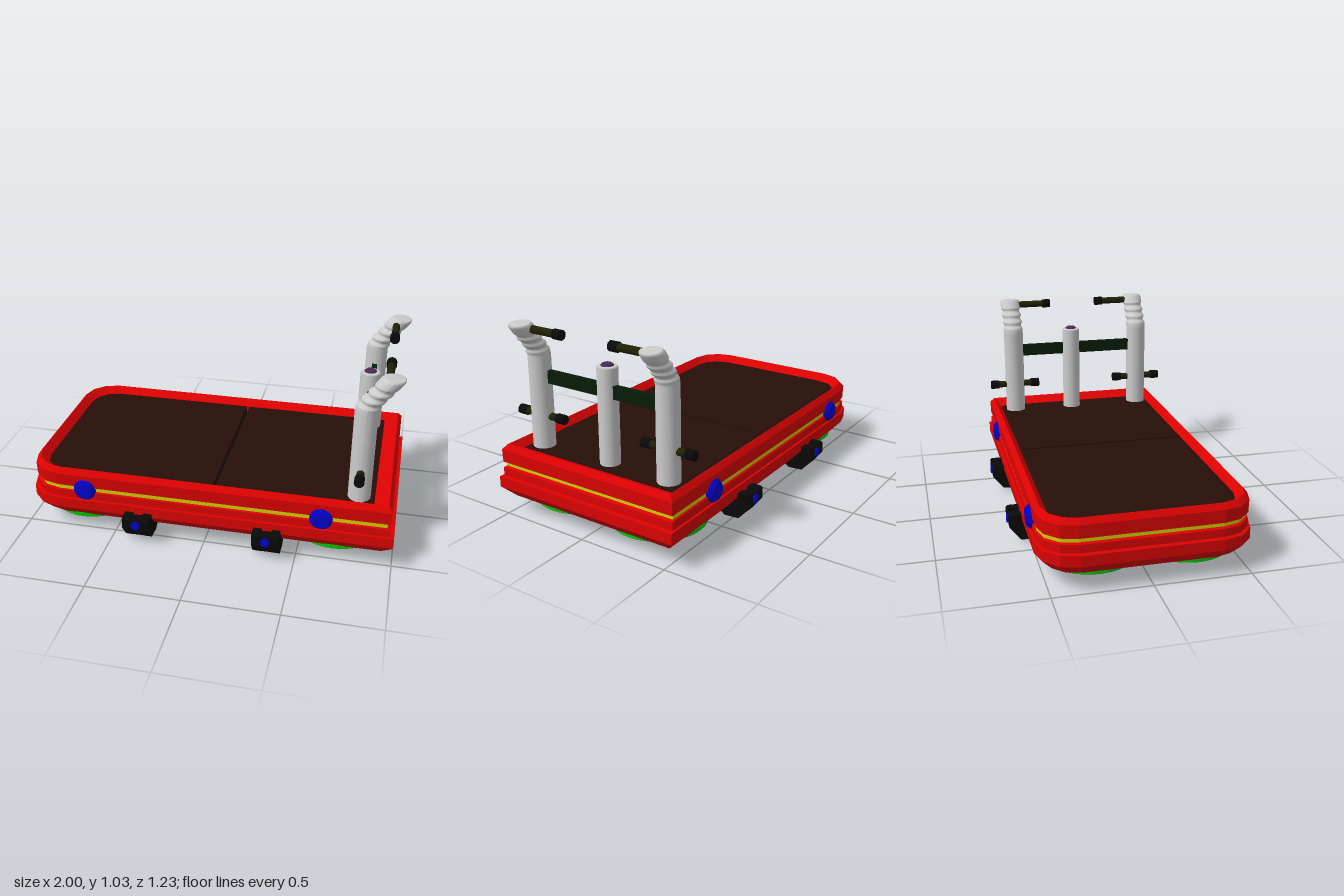
import * as THREE from 'three';

const mat = (color, side = THREE.FrontSide) => new THREE.MeshStandardMaterial({ color, side });
const RED = mat(0xdc0202), YELLOW = mat(0xd2d000), BROWN = mat(0x270e08), BLUE = mat(0x0202cc);
const GREEN = mat(0x02c402, THREE.DoubleSide), TEAL = mat(0x02bcbc, THREE.DoubleSide), PURPLE = mat(0x8c028c);
const BLACK = mat(0x0a0a0a), OLIVE = mat(0x202006), DARKGREEN = mat(0x061c08), GREY = mat(0xcccccc);
const DOME = mat(0x4a2a50);

export function createModel() {
  const model = new THREE.Group();
  const add = (name, geo, material, x = 0, y = 0, z = 0, parent = model) => {
    const m = new THREE.Mesh(geo, material);
    m.name = name;
    m.position.set(x, y, z);
    parent.add(m);
    return m;
  };
  const lathe = (pts, seg = 32) => new THREE.LatheGeometry(pts.map(p => new THREE.Vector2(...p)), seg);
  const rod = (r, len, seg = 16) => new THREE.CylinderGeometry(r, r, len, seg).rotateX(Math.PI / 2);

  // Footprint: square at +x, rounded in three facets at -x
  const ring = ({ x0, x1, w, r, y }) => {
    const pts = [[x1, w], [x1, -w]];
    for (const s of [-1, 1]) {
      for (let k = 0; k <= 3; k++) {
        const a = (s < 0 ? k : 3 - k) * Math.PI / 6;
        pts.push([x0 + r - r * Math.sin(a), s * (w - r + r * Math.cos(a))]);
      }
    }
    return pts.map(([x, z]) => new THREE.Vector3(x, y, z));
  };
  // Flat-shaded skin over a stack of rings, with optional end caps
  const loft = (specs, capped) => {
    const rings = specs.map(ring), v = [], n = rings[0].length;
    const tri = (...ps) => ps.forEach(p => v.push(p.x, p.y, p.z));
    for (let j = 0; j + 1 < rings.length; j++) {
      for (let i = 0; i < n; i++) {
        const k = (i + 1) % n, a = rings[j], b = rings[j + 1];
        tri(a[i], a[k], b[k]);
        tri(a[i], b[k], b[i]);
      }
    }
    const top = rings[rings.length - 1];
    for (let i = 1; capped && i + 1 < n; i++) {
      tri(rings[0][0], rings[0][i + 1], rings[0][i]);
      tri(top[0], top[i], top[i + 1]);
    }
    const g = new THREE.BufferGeometry();
    g.setAttribute('position', new THREE.Float32BufferAttribute(v, 3));
    g.computeVertexNormals();
    return g;
  };
  // Hull ring given as x inset, height, half width and extra inset at the +x end
  const hull = ([i, y, w, e = 0]) => ({ x0: -1 + i, x1: 1 - i - e, w, r: 0.19 - i * 0.6, y });

  // Body
  add('lowerHull', loft([[0.06, 0.08, 0.49], [0, 0.142, 0.545], [0, 0.2, 0.545], [0.022, 0.203, 0.534],
    [0.022, 0.246, 0.534], [0.035, 0.252, 0.525]].map(hull), true), RED);
  add('trimStripe', loft([[0.038, 0.25, 0.526], [0.038, 0.278, 0.526]].map(hull), true), YELLOW);
  add('upperHull', loft([[0.04, 0.275, 0.52], [0.022, 0.278, 0.534], [0.02, 0.347, 0.536], [0.04, 0.375, 0.512],
    [0.045, 0.375, 0.508], [0.085, 0.338, 0.474, 0.035], [0.085, 0.276, 0.474, 0.035]].map(hull), false), RED);

  // Deck in two panels with a gap between them
  const panel = (x0, x1, r, edge) => loft([
    { x0, x1, w: 0.476, r, y: 0.277 },
    { x0, x1, w: 0.476, r, y: 0.337 },
    { x0: x0 + edge, x1, w: 0.45, r, y: 0.345 },
  ], true);
  add('deckPanelRight', panel(-0.918, 0.042, 0.14, 0.03), BROWN);
  add('deckPanelLeft', panel(0.06, 0.884, 0.005, 0), BROWN);

  // Lift nozzles underneath
  const collar = lathe([[0.2, 0.06], [0.246, 0.06], [0.246, 0.06], [0.25, 0.064], [0.25, 0.064],
    [0.25, 0.085], [0.25, 0.085], [0.2, 0.085]], 40);
  const dish = lathe([[0.085, 0.058], [0.092, 0.04], [0.1, 0.018], [0.108, 0.004], [0.12, 0],
    [0.145, 0.01], [0.175, 0.027], [0.205, 0.046], [0.228, 0.062]], 40);
  const core = new THREE.CylinderGeometry(0.09, 0.09, 0.02, 32);
  for (const [x, z] of [[-0.69, 0.248], [-0.69, -0.248], [0, 0], [0.69, 0.248], [0.69, -0.248]]) {
    const nozzle = new THREE.Group();
    nozzle.name = 'nozzle';
    nozzle.position.set(x, 0, z);
    model.add(nozzle);
    add('nozzleCollar', collar, GREEN, 0, 0, 0, nozzle);
    add('nozzleDish', dish, TEAL, 0, 0, 0, nozzle);
    add('nozzleCore', core, PURPLE, 0, 0.062, 0, nozzle);
  }

  // Cross straps with clamps at both ends
  const slab = (pts, width) => new THREE.ExtrudeGeometry(new THREE.Shape(pts.map(p => new THREE.Vector2(...p))),
    { depth: width, bevelEnabled: false }).translate(0, 0, -width / 2).rotateY(-Math.PI / 2);
  const half = [[0.5, 0.09], [0.535, 0.135], [0.535, 0.152], [0.605, 0.152], [0.605, 0.1], [0.552, 0.027],
    [0.47, 0.022], [0.42, 0.036]];
  const strap = slab([...half, ...half.map(([z, y]) => [-z, y]).reverse()], 0.1);
  for (const x of [-0.35, 0.35]) {
    add('strap', strap, BLACK, x);
    for (const s of [-1, 1]) {
      for (const dx of [-0.05, 0.05]) {
        const cheek = [[0.43, 0.05], [0.47, 0.022], [0.552, 0.026], [0.61, 0.1], [0.61, 0.155], [0.6, 0.165],
          [0.53, 0.165], [0.53, 0.135], [0.47, 0.09], [0.43, 0.09]].map(([z, y]) => [s * z, y]);
        add('strapClamp', slab(cheek, 0.045), BLACK, x + dx);
      }
      add('strapBolt', rod(0.024, 0.02), BLUE, x, 0.123, s * 0.606);
    }
  }

  // Round side lamps with a chamfered rim
  const lamp = lathe([[0.06, -0.03], [0.06, 0.008], [0.06, 0.008], [0.045, 0.027], [0.045, 0.027], [0, 0.027]])
    .rotateX(Math.PI / 2);
  for (const x of [-0.65, 0.625]) {
    for (const s of [-1, 1]) add('sideLamp', lamp, BLUE, x, 0.263, s * 0.53).rotation.y = s > 0 ? 0 : Math.PI;
  }

  // Bent posts: a ribbed turned profile sheared towards +x near the top
  const profile = [[0.059, 0.29], [0.059, 0.84], [0.059, 0.862]];
  for (let i = 0; i <= 24; i++) {
    const t = i / 24;
    profile.push([0.0555 + 0.0045 * Math.cos(t * Math.PI * 6), 0.866 + t * 0.118]);
  }
  profile.push([0.06, 1.015], [0.054, 1.027], [0.048, 1.028], [0, 1.028]);
  const bendPts = new THREE.CatmullRomCurve3([[0, 0.82], [0.004, 0.85], [0.022, 0.89], [0.06, 0.94], [0.125, 1.03]]
    .map(([x, y]) => new THREE.Vector3(x, y, 0))).getPoints(60);
  const shift = y => (y <= 0.82 ? 0 : (bendPts.find(p => p.y >= y) ?? bendPts[60]).x);
  const post = lathe(profile, 28), pos = post.attributes.position;
  for (let i = 0; i < pos.count; i++) {
    const x = pos.getX(i), y = pos.getY(i);
    pos.setX(i, x + shift(y));
    if (y > 0.85) pos.setY(i, y - x * 0.1);
  }
  post.computeVertexNormals();

  const midZ = 0.005;
  for (const s of [-1, 1]) {
    const z = midZ + s * 0.397;
    add('bentPost', post, GREY, 0.802, 0, z);
    // Upper handle pointing inwards
    add('upperHandle', rod(0.02, 0.2), OLIVE, 0.9, 1, z - s * 0.12);
    add('upperGrip', rod(0.026, 0.048), BLACK, 0.9, 1, z - s * 0.226);
    // Lower handle through the post
    add('lowerHandle', rod(0.02, 0.27), OLIVE, 0.802, 0.513, z);
    for (const d of [-0.127, 0.127]) add('lowerGrip', rod(0.026, 0.05), BLACK, 0.802, 0.513, z + d);
  }

  // Cross bar and centre post
  add('crossBar', new THREE.BoxGeometry(0.028, 0.068, 0.76), DARKGREEN, 0.8, 0.73, midZ);
  add('centrePost', lathe([[0.053, 0.29], [0.053, 0.848], [0.047, 0.856], [0, 0.856]], 28), GREY, 0.792, 0, -0.028);
  add('centreButton', lathe([[0.033, 0.85], [0.032, 0.86], [0.022, 0.868], [0, 0.871]], 24), DOME, 0.792, 0, -0.028);

  return model;
}
